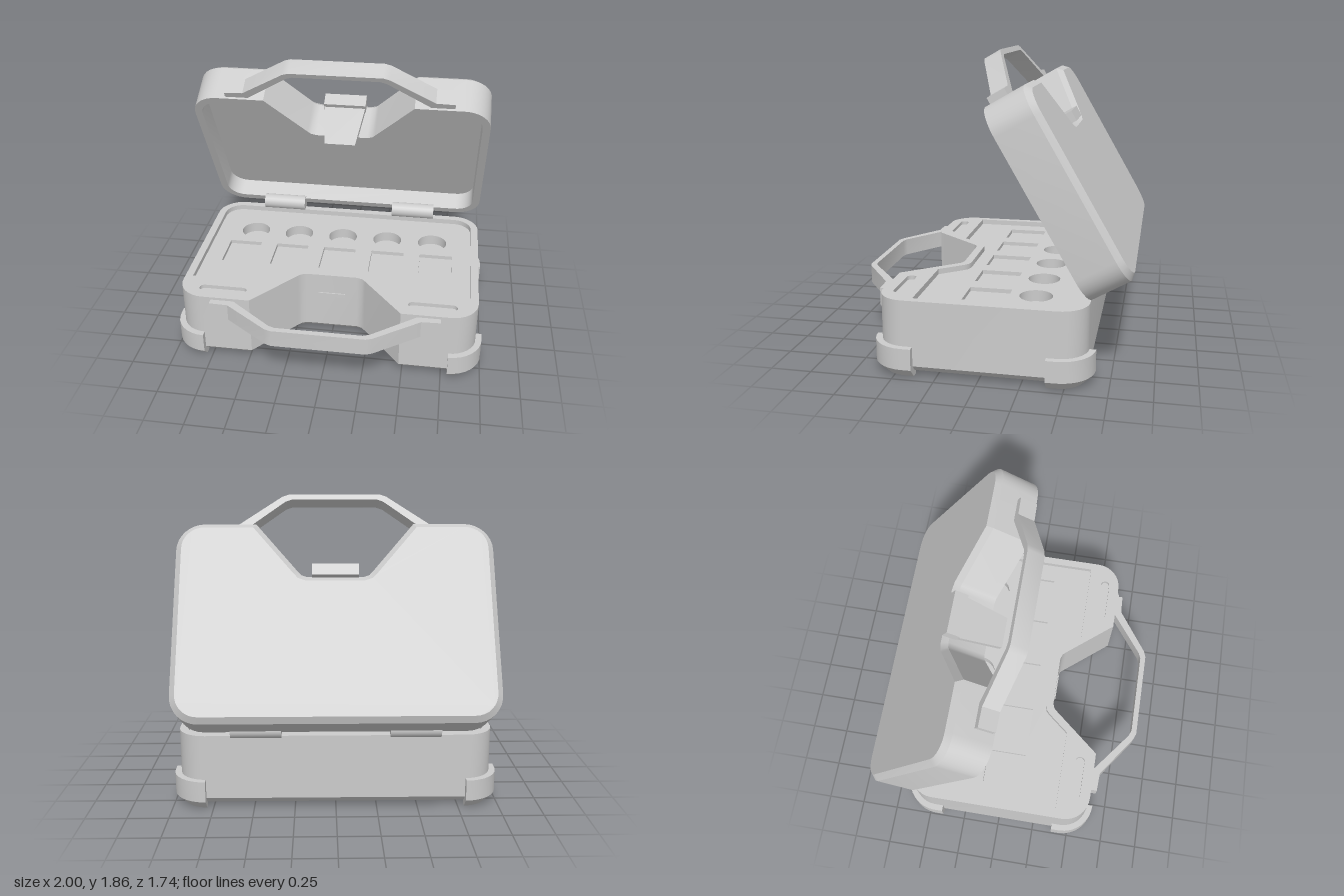
import * as THREE from 'three';
import { toCreasedNormals } from 'three/addons/utils/BufferGeometryUtils.js';

const material = new THREE.MeshStandardMaterial({ color: 0xcccccc });
const W = 0.96, L = 1.235, R = 0.17; // half width, length and corner radius of the case

// ---- plan outlines: [x, z] points, counter-clockwise in x-z
const mirror = (half) => [...half, ...half.map(([x, z]) => [-x, z]).reverse()];

function arc(cx, cz, r, a0, a1, n = 8) {
  return Array.from({ length: n + 1 }, (_, i) => {
    const a = a0 + ((a1 - a0) * i) / n;
    return [cx + r * Math.cos(a), cz + r * Math.sin(a)];
  });
}

function inset(pts, d) {
  const n = pts.length;
  const normal = (a, b) => {
    const l = Math.hypot(b[0] - a[0], b[1] - a[1]);
    return [-(b[1] - a[1]) / l, (b[0] - a[0]) / l];
  };
  return pts.map((p, i) => {
    const u = normal(pts[(i + n - 1) % n], p), v = normal(p, pts[(i + 1) % n]);
    const k = d / (1 + u[0] * v[0] + u[1] * v[1]);
    return [p[0] + k * (u[0] + v[0]), p[1] + k * (u[1] + v[1])];
  });
}

const H = Math.PI / 2;
const caseOutline = mirror([
  ...arc(W - R, R, R, -H, 0), ...arc(W - R, L - R, R, 0, H),
  [0.48, L], [0.225, L - 0.31], [0.205, L - 0.332], [0.17, L - 0.345],
]);
const trayOutline = mirror([
  ...arc(W - R, R, R - 0.05, -H, 0), [0.91, 1.015], [0.364, 1.015],
  [0.25, 0.875], [0.225, 0.852], [0.19, 0.84],
]);
const handleOutline = mirror([
  [0.27, 0.225], [0.31, 0.21], [0.57, 0.01], [0.59, -0.01], [0.73, -0.01],
  [0.73, 0.04], [0.61, 0.045], [0.33, 0.245], [0.29, 0.26],
]).map(([x, z]) => [x, z + L]);

// ---- surface builders: each adds triangle corners to a list
const ring = (pts, y) => pts.map(([x, z]) => [x, y, z]);

function loft(out, rings) {
  for (let i = 0; i + 1 < rings.length; i++) {
    const A = rings[i], B = rings[i + 1];
    A.forEach((a, j) => {
      const k = (j + 1) % A.length;
      out.push(a, B[j], A[k], A[k], B[j], B[k]);
    });
  }
}

function flat(out, contour, y, up, holes = []) {
  const v = (pts) => pts.map(([x, z]) => new THREE.Vector2(x, z));
  const all = [contour, ...holes].flat();
  for (const [a, b, c] of THREE.ShapeUtils.triangulateShape(v(contour), holes.map(v))) {
    const [p, q, r] = [all[a], all[b], all[c]];
    const ccw = (q[0] - p[0]) * (r[1] - p[1]) - (q[1] - p[1]) * (r[0] - p[0]) > 0;
    out.push(...ring(ccw === up ? [p, r, q] : [p, q, r], y));
  }
}

function pocket(out, pts, top, bottom, holes) {
  loft(out, [ring(pts, top), ring(pts, bottom)]);
  flat(out, pts, bottom, true, holes);
}

function meshFrom(name, corners) {
  const g = new THREE.BufferGeometry();
  g.setAttribute('position', new THREE.Float32BufferAttribute(corners.flat(), 3));
  return named(name, toCreasedNormals(g, 0.5));
}

function named(name, geometry, x = 0, y = 0, z = 0) {
  const m = new THREE.Mesh(geometry, material);
  m.name = name;
  m.position.set(x, y, z);
  return m;
}

function handle(name, y0, y1) {
  const out = [];
  loft(out, [ring(handleOutline, y0), ring(handleOutline, y1)]);
  flat(out, handleOutline, y0, false);
  flat(out, handleOutline, y1, true);
  return meshFrom(name, out);
}

// corner guard: a chamfered band swept round one corner
function cornerFoot(sx, sz) {
  const profile = [[-0.06, 0.19], [0.04, 0.19], [0.04, 0.06], [-0.02, 0], [-0.06, 0]];
  const path = [[W, L - R - 0.057, 1, 0]];
  for (let i = 0; i <= 8; i++) {
    const c = Math.cos((i * H) / 8), s = Math.sin((i * H) / 8);
    path.push([W - R + R * c, L - R + R * s, c, s]);
  }
  if (sx * sz < 0) path.reverse();
  const rings = path.map(([x, z, nx, nz]) => profile.map(([d, y]) => {
    const pz = z + d * nz;
    return [sx * (x + d * nx), y, sz > 0 ? pz : L - pz];
  }));
  const out = [];
  loft(out, rings);
  const first = rings[0], last = rings[rings.length - 1];
  for (let i = 1; i + 1 < profile.length; i++) {
    out.push(first[0], first[i], first[i + 1], last[0], last[i + 1], last[i]);
  }
  return meshFrom('cornerFoot', out);
}

function createBase() {
  const base = new THREE.Group();
  base.name = 'base';
  base.position.z = -0.625;
  const top = 0.47, floor = 0.435, mid = 0.625;

  // outer shell with chamfered bottom edge
  const out = [];
  const sole = inset(caseOutline, 0.04);
  flat(out, sole, 0.03, false);
  loft(out, [ring(sole, 0.03), ring(caseOutline, 0.07), ring(caseOutline, top)]);

  // rounded slots in the front rim
  const slots = [-0.675, 0.675].map((x) => [
    ...arc(x + 0.125, mid + 0.51, 0.03, -H, H), ...arc(x - 0.125, mid + 0.51, 0.03, H, 3 * H),
  ]);
  flat(out, caseOutline, top, true, [trayOutline, ...slots]);
  slots.forEach((s) => pocket(out, s, top, top - 0.025));

  // sunken tray with round and square wells
  const round = [], square = [];
  for (let i = -2; i <= 2; i++) {
    round.push(arc(i * 0.32, mid - 0.29, 0.1, 0, 4 * H, 32).slice(0, -1));
    const x = i * 0.337, a = 0.112, b = 0.13;
    square.push([[x - a, mid - b], [x + a, mid - b], [x + a, mid + b], [x - a, mid + b]]);
  }
  pocket(out, trayOutline, top, floor, [...round, ...square]);
  round.forEach((p) => pocket(out, p, floor, floor - 0.07));
  square.forEach((p) => pocket(out, p, floor, floor - 0.025));
  base.add(meshFrom('lowerShell', out));

  // latch catch on the notch wall, lower handle and corner feet
  base.add(named('latchCatch', new THREE.BoxGeometry(0.18, 0.025, 0.016), 0, 0.318, L - 0.345));
  base.add(handle('lowerHandle', 0.34, 0.453));
  for (const sx of [1, -1]) for (const sz of [1, -1]) base.add(cornerFoot(sx, sz));
  return base;
}

function createLid() {
  const lid = new THREE.Group();
  lid.name = 'lid';
  lid.position.set(0, 0.5, -0.64);
  lid.rotation.x = -Math.PI / 3;

  // hollow shell: cavity floor, rim, side wall, chamfered outer edge
  const out = [];
  const inner = inset(caseOutline, 0.05), outer = inset(caseOutline, 0.035);
  flat(out, inner, 0.13, false);
  loft(out, [ring(inner, 0.13), ring(inner, 0), ring(caseOutline, 0),
    ring(caseOutline, 0.25), ring(outer, 0.285)]);
  flat(out, outer, 0.285, true);
  lid.add(meshFrom('upperShell', out));
  lid.add(handle('upperHandle', 0.015, 0.13));

  // latch: tapered plate with a thick cap and a small hook
  const plate = new THREE.BoxGeometry(0.28, 0.33, 0.035);
  const p = plate.attributes.position;
  for (let i = 0; i < p.count; i++) if (p.getY(i) < 0) p.setX(i, p.getX(i) * 0.72);
  plate.computeVertexNormals();
  const latch = new THREE.Group();
  latch.name = 'latch';
  latch.add(named('latchPlate', plate, 0, 0.075, 0.911));
  latch.add(named('latchCap', new THREE.BoxGeometry(0.28, 0.09, 0.07), 0, 0.255, 0.922));
  latch.add(named('latchHook', new THREE.BoxGeometry(0.13, 0.025, 0.03), 0, -0.073, 0.89));
  lid.add(latch);
  return lid;
}

export function createModel() {
  const model = new THREE.Group();
  model.name = 'openCase';
  model.add(createBase(), createLid());
  // hinge barrels
  for (const s of [-1, 1]) {
    const barrel = new THREE.CylinderGeometry(0.053, 0.053, 0.305, 24).rotateZ(H);
    model.add(named('hinge', barrel, s * 0.48, 0.508, -0.61));
  }
  return model;
}
